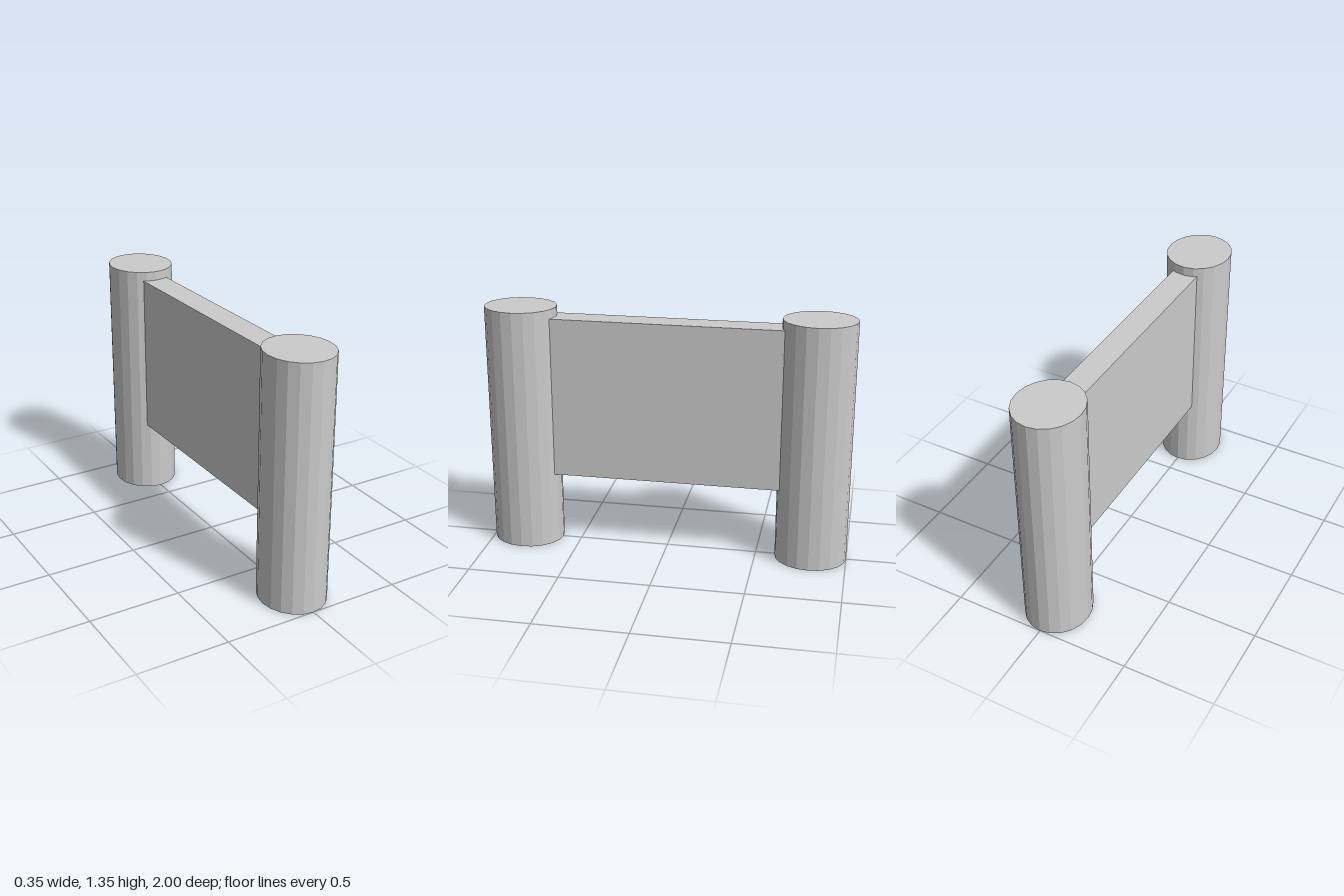
import * as THREE from 'three';

export function createModel() {
  const model = new THREE.Group();
  const material = new THREE.MeshStandardMaterial({ color: 0xcccccc, flatShading: true });

  // Two oval posts, slightly deeper than wide
  const postHeight = 1.35;
  const postGeometry = new THREE.CylinderGeometry(1, 1, postHeight, 20);
  postGeometry.scale(0.176, 1, 0.197);
  for (const [name, side] of [['frontPost', 1], ['backPost', -1]]) {
    const post = new THREE.Mesh(postGeometry, material);
    post.name = name;
    post.position.set(0, postHeight / 2, side * 0.803);
    model.add(post);
  }

  // Flat panel between the posts, its ends sunk into them
  const bottom = 0.41, top = 1.3;
  const panel = new THREE.Mesh(new THREE.BoxGeometry(0.144, top - bottom, 1.4), material);
  panel.name = 'panel';
  panel.position.y = (bottom + top) / 2;
  model.add(panel);

  return model;
}
